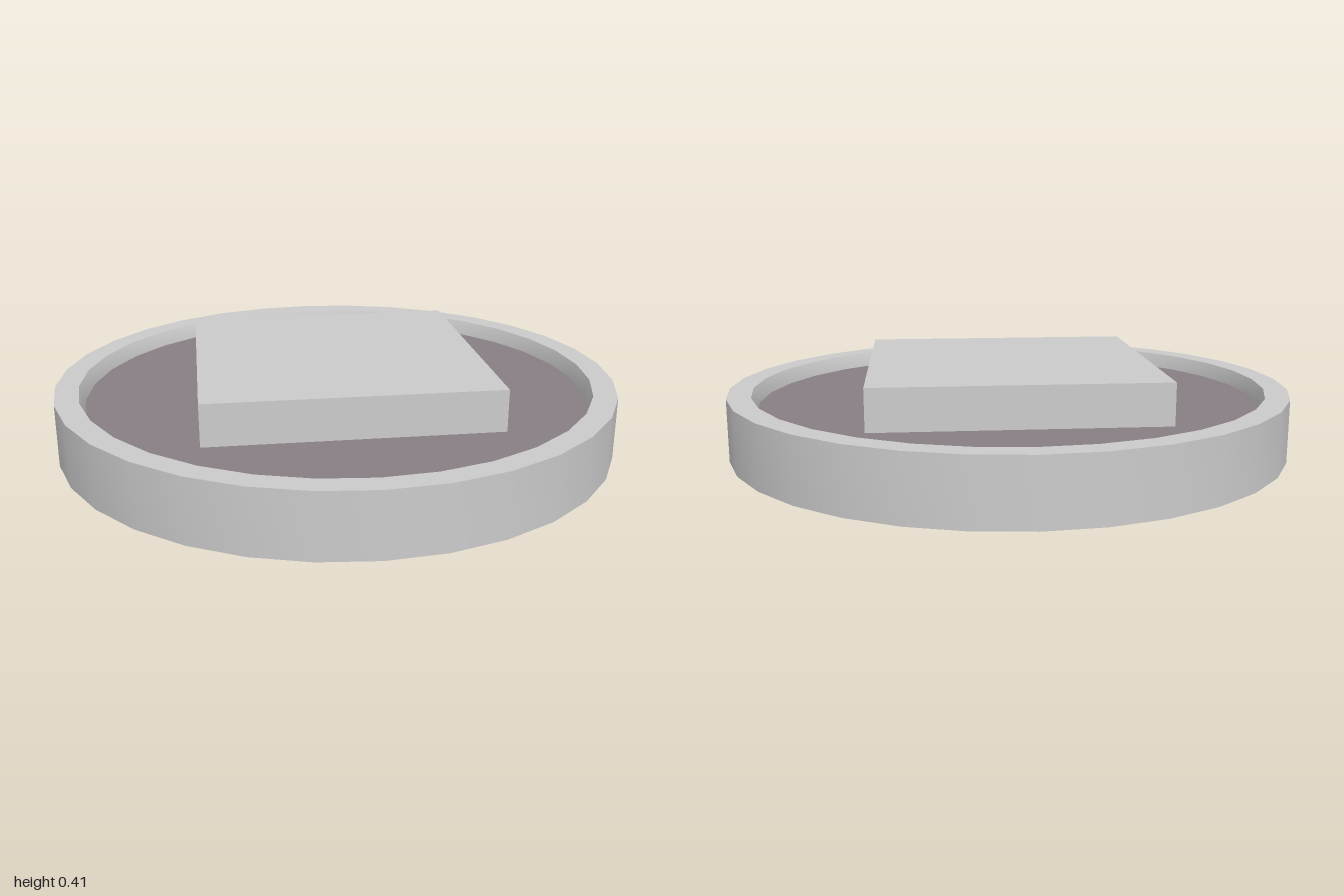
import * as THREE from 'three';
import { toCreasedNormals } from 'three/addons/utils/BufferGeometryUtils.js';

const SEGMENTS = 32;
const MID = 0.2025;      // height of the mirror plane
const RIM_HALF = 0.11;   // half heights of the three parts
const DISC_HALF = 0.057;
const BLOCK_HALF = MID;

export function createModel() {
  const group = new THREE.Group();
  group.name = 'disc';
  const grey = new THREE.MeshStandardMaterial({ color: 0xcccccc });
  const dark = new THREE.MeshStandardMaterial({ color: 0x887f85 });

  const add = (name, geometry, material) => {
    const mesh = new THREE.Mesh(geometry, material);
    mesh.name = name;
    mesh.position.y = MID;
    group.add(mesh);
  };

  // Rim: closed ring whose inner walls taper in towards the recessed disc
  const profile = [
    [1, -RIM_HALF], [1, RIM_HALF], [0.917, RIM_HALF],
    [0.897, DISC_HALF], [0.897, -DISC_HALF], [0.917, -RIM_HALF], [1, -RIM_HALF],
  ].map(([x, y]) => new THREE.Vector2(x, y));
  add('rim', toCreasedNormals(new THREE.LatheGeometry(profile, SEGMENTS), 0.5), grey);

  // Recessed dark disc filling the rim
  add('innerDisc', new THREE.CylinderGeometry(0.897, 0.897, DISC_HALF * 2, SEGMENTS), dark);

  // Square block passing through the disc, raised on both sides
  add('squareBlock', new THREE.BoxGeometry(1, BLOCK_HALF * 2, 1), grey);

  // Slight turn shared by all parts
  group.rotation.y = -0.0125;
  return group;
}
